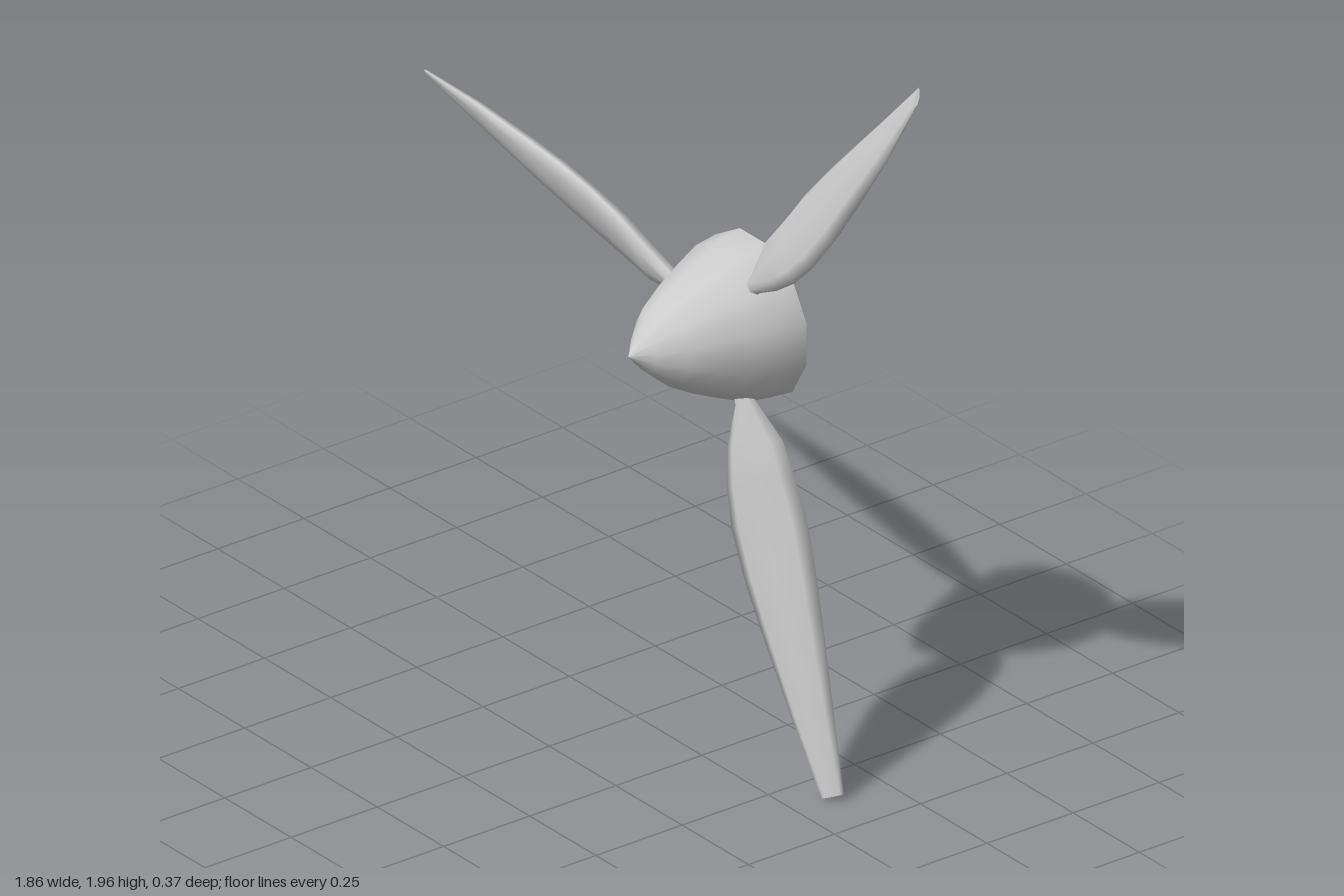
import * as THREE from 'three';

const HUB = { x: 0.209, y: 1.087 };
const BLADE_Z = -0.103;
const SIDES = 8;

// Blade stations: [distance from hub axis, chord offset, half chord, half thickness, pitch in degrees]
const STATIONS = [
  [0.12, 0, 0.018, 0.015, 27],
  [0.135, 0, 0.026, 0.021, 27],
  [0.19, 0, 0.026, 0.021, 27],
  [0.29, -0.002, 0.073, 0.027, 27],
  [0.38, -0.015, 0.09, 0.029, 27],
  [0.48, -0.021, 0.1, 0.028, 27],
  [0.6, -0.026, 0.095, 0.028, 27],
  [0.73, -0.028, 0.081, 0.026, 28],
  [0.93, -0.03, 0.056, 0.018, 30],
  [1.135, -0.026, 0.027, 0.005, 39],
];

// One point of the pitched oval section at a station
function sectionPoint([u, offset, chord, thick, pitch], j) {
  const t = (j / SIDES) * Math.PI * 2;
  const p = THREE.MathUtils.degToRad(pitch);
  const c = chord * Math.cos(t);
  const h = thick * Math.sin(t);
  return [u, offset + c * Math.cos(p) + h * Math.sin(p), -c * Math.sin(p) + h * Math.cos(p)];
}

// Blade lofted along +x, with flat end caps
function bladeGeometry() {
  const positions = [];
  const index = [];
  const addRing = (station) => {
    const start = positions.length / 3;
    for (let j = 0; j < SIDES; j++) positions.push(...sectionPoint(station, j));
    return start;
  };
  const rings = STATIONS.map(addRing);
  for (let i = 0; i < rings.length - 1; i++) {
    for (let j = 0; j < SIDES; j++) {
      const k = (j + 1) % SIDES;
      const a = rings[i] + j, d = rings[i] + k;
      const b = rings[i + 1] + j, c = rings[i + 1] + k;
      index.push(a, d, c, a, c, b);
    }
  }
  for (const [station, isTip] of [[STATIONS[0], false], [STATIONS.at(-1), true]]) {
    const s = addRing(station);
    for (let j = 1; j < SIDES - 1; j++) {
      if (isTip) index.push(s, s + j, s + j + 1);
      else index.push(s, s + j + 1, s + j);
    }
  }
  const geometry = new THREE.BufferGeometry();
  geometry.setAttribute('position', new THREE.Float32BufferAttribute(positions, 3));
  geometry.setIndex(index);
  geometry.computeVertexNormals();
  return geometry;
}

// Twelve-sided turned surface about z, from [radius, z] points
function turned(points) {
  const profile = points.map(([r, z]) => new THREE.Vector2(r, z));
  return new THREE.LatheGeometry(profile, 12, Math.PI / 12).rotateX(Math.PI / 2);
}

export function createModel() {
  const group = new THREE.Group();
  group.name = 'propeller';
  const material = new THREE.MeshStandardMaterial({ color: 0xcccccc });

  const add = (name, geometry, z) => {
    const mesh = new THREE.Mesh(geometry, material);
    mesh.name = name;
    mesh.position.set(HUB.x, HUB.y, z);
    group.add(mesh);
    return mesh;
  };

  // Hollow spinner: outer shell, back rim and inner wall
  add('spinnerShell', turned([[0.205, -0.183], [0.196, -0.12], [0.167, -0.05], [0.135, 0.02], [0.1, 0.083], [0.05, 0.137], [0, 0.182]]), 0);
  add('spinnerRim', turned([[0.183, -0.183], [0.205, -0.183]]), 0);
  add('spinnerInside', turned([[0, 0.15], [0.043, 0.113], [0.085, 0.068], [0.118, 0.01], [0.148, -0.055], [0.174, -0.12], [0.183, -0.183]]), 0);

  // Three blades evenly spaced round the hub
  const blade = bladeGeometry();
  ['upperBlade', 'sideBlade', 'lowerBlade'].forEach((name, i) => {
    add(name, blade, BLADE_Z).rotation.z = THREE.MathUtils.degToRad(52 + i * 120);
  });

  return group;
}
